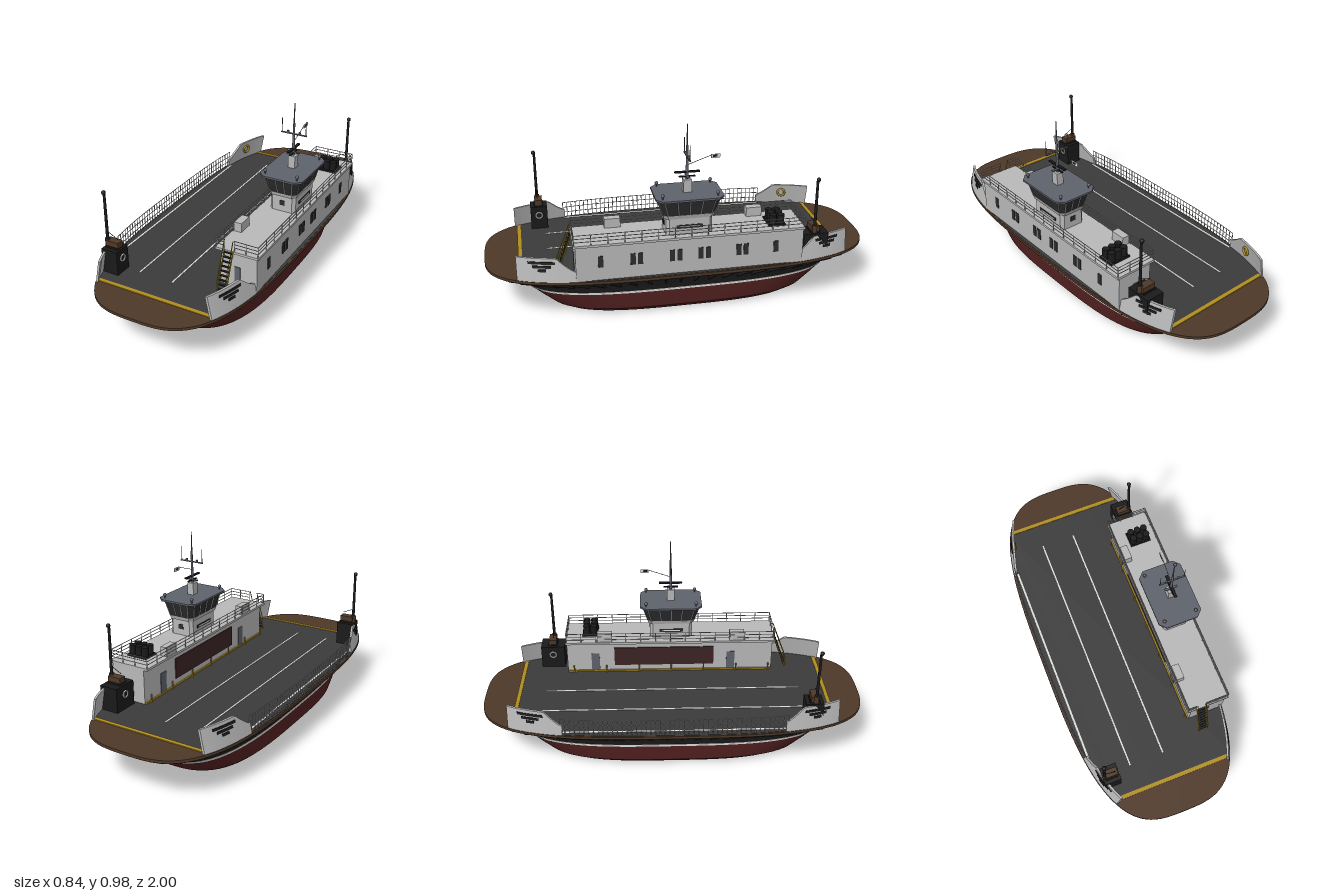
import * as THREE from 'three';
import { mergeGeometries, toCreasedNormals } from 'three/addons/utils/BufferGeometryUtils.js';

const material = (name, color) => Object.assign(new THREE.MeshStandardMaterial({ color, side: THREE.DoubleSide }), { name });
const M = {
  black: material('black', 0x1a1a1a), red: material('hull red', 0x522020), brown: material('rust brown', 0x4e3828),
  deck: material('deck grey', 0x3b3b3b), grey: material('light grey', 0xb8b8b8), white: material('white', 0xdcdcd8),
  slate: material('slate', 0x5e626c), yellow: material('yellow', 0xb08d1e), glass: material('dark glass', 0x2c2c2e),
  maroon: material('maroon', 0x3c2424),
};
const V = (x, y, z) => new THREE.Vector3(x, y, z);

// Merge several geometries into one named part
function add(parent, name, mat, geos) {
  const flat = geos.map((g) => {
    const n = g.index ? g.toNonIndexed() : g;
    n.deleteAttribute('uv');
    return n;
  });
  const mesh = new THREE.Mesh(mergeGeometries(flat), mat);
  mesh.name = name;
  parent.add(mesh);
  return mesh;
}
const box = (x, y, z, w, h, d) => new THREE.BoxGeometry(w, h, d).translate(x, y, z);
const post = (x, y0, y1, z, r0, r1 = r0, n = 12) => new THREE.CylinderGeometry(r1, r0, y1 - y0, n).translate(x, (y0 + y1) / 2, z);
function bar(a, b, r = 0.002, sides = 5) {
  const d = b.clone().sub(a), g = new THREE.CylinderGeometry(r, r, d.length(), sides);
  g.applyQuaternion(new THREE.Quaternion().setFromUnitVectors(V(0, 1, 0), d.normalize()));
  return g.translate((a.x + b.x) / 2, (a.y + b.y) / 2, (a.z + b.z) / 2);
}

// Skin a list of closed rings, with flat caps
function loft(rings, bottom = true, top = true) {
  const n = rings[0].length, pos = rings.flat().flatMap((p) => [p.x, p.y, p.z]), idx = [];
  for (let i = 0; i < rings.length - 1; i++) for (let j = 0; j < n; j++) {
    const a = i * n + j, b = i * n + (j + 1) % n;
    idx.push(a, a + n, b, b, a + n, b + n);
  }
  const last = (rings.length - 1) * n;
  for (let j = 1; j < n - 1; j++) {
    if (bottom) idx.push(0, j, j + 1);
    if (top) idx.push(last, last + j + 1, last + j);
  }
  const g = new THREE.BufferGeometry();
  g.setAttribute('position', new THREE.Float32BufferAttribute(pos, 3));
  g.setIndex(idx);
  return toCreasedNormals(g, 0.45);
}

// Ship plan: a superellipse ring
const N = 3.2;
function planPoint(y, hx, hz, t) {
  const c = Math.cos(t), s = Math.sin(t), r = (Math.abs(c) ** N + Math.abs(s) ** N) ** (-1 / N);
  return V(hx * c * r, y, hz * s * r);
}
const plan = ([y, hx, hz], n = 120) => Array.from({ length: n }, (_, i) => planPoint(y, hx, hz, (i / n) * Math.PI * 2));
const edgeX = (z) => 0.42 * (1 - Math.abs(z) ** N) ** (1 / N) - 0.003;
// Chamfered rectangle ring for the wheelhouse
const octagon = (y, hx, hz, c) => [[hx, -hz + c], [hx, hz - c], [hx - c, hz], [c - hx, hz], [-hx, hz - c], [-hx, c - hz], [c - hx, -hz], [hx - c, -hz]]
  .map(([x, z]) => V(0.303 + x, y, z));

// Curved plate that follows the deck edge and leans inward
function edgePlate(z0, z1, low, topAt, inner, outer) {
  const rings = [];
  for (let i = 0; i <= 16; i++) {
    const z = z0 + (z1 - z0) * i / 16, hi = topAt(z);
    const at = (y, o) => V(edgeX(z) + o - (y - 0.24) * 0.2, y, z);
    rings.push([at(low, inner), at(low, outer), at(hi, outer), at(hi, inner)]);
  }
  return loft(rings);
}

// Posts and three rails along a path
function railing(path, h, gap) {
  const out = [];
  for (let i = 0; i < path.length - 1; i++) {
    const a = path[i], b = path[i + 1], n = Math.max(1, Math.round(a.distanceTo(b) / gap));
    for (let k = 0; k <= n; k++) {
      const p = a.clone().lerp(b, k / n);
      out.push(bar(p, p.clone().add(V(0, h, 0))));
    }
    for (const f of [0.35, 0.68, 1]) out.push(bar(a.clone().add(V(0, h * f, 0)), b.clone().add(V(0, h * f, 0))));
  }
  return out;
}

function buildHull(g) {
  add(g, 'hullBottom', M.black, [loft([plan([-0.0, 0.303, 0.64]), plan([0.001, 0.304, 0.642])])]);
  add(g, 'lowerHull', M.red, [loft([[0.001, 0.304, 0.642], [0.028, 0.331, 0.69], [0.08, 0.335, 0.755], [0.118, 0.336, 0.8]].map((r) => plan(r)), false, false)]);
  add(g, 'waterlineStripe', M.white, [loft([[0.118, 0.338, 0.802], [0.129, 0.338, 0.812]].map((r) => plan(r)))]);
  add(g, 'upperHull', M.black, [loft([[0.129, 0.336, 0.81], [0.16, 0.337, 0.83], [0.222, 0.362, 0.9]].map((r) => plan(r)), false, false)]);
  // Brackets under the overhanging deck
  const ribs = [];
  for (let i = 0; i < 72; i++) {
    const t = ((i + 0.5) / 72) * Math.PI * 2, d = 0.004;
    const ring = (s) => [planPoint(0.155, 0.336, 0.825, t + s), planPoint(0.222, 0.34, 0.84, t + s), planPoint(0.222, 0.412, 0.985, t + s), planPoint(0.212, 0.41, 0.98, t + s)];
    ribs.push(loft([ring(-d), ring(d)]));
  }
  add(g, 'deckBrackets', M.black, ribs);
  add(g, 'deckRim', M.brown, [loft([[0.22, 0.414, 0.992], [0.226, 0.42, 1], [0.24, 0.42, 1]].map((r) => plan(r)))]);
  const shape = new THREE.Shape(plan([0, 0.412, 0.99]).map((p) => new THREE.Vector2(p.x, THREE.MathUtils.clamp(p.z, -0.815, 0.815))));
  add(g, 'carDeck', M.deck, [new THREE.ExtrudeGeometry(shape, { depth: 0.002, bevelEnabled: false }).rotateX(-Math.PI / 2).translate(0, 0.24, 0)]);
  add(g, 'laneLines', M.white, [box(-0.18, 0.243, 0, 0.008, 0.002, 1.36), box(0.005, 0.243, 0, 0.008, 0.002, 1.36), box(-0.372, 0.243, 0, 0.01, 0.002, 1.13)]);
  add(g, 'rampLines', M.yellow, [-1, 1].map((s) => box(0, 0.243, s * 0.82, 0.645, 0.004, 0.02)));
}

function buildBulwarks(g) {
  const topAt = (z) => (z > 0.65 ? 0.357 : 0.29 + 0.067 * Math.max(0, (z - 0.56) / 0.09) ** 1.3);
  for (const sx of [-1, 1]) for (const sz of [-1, 1]) {
    const corner = new THREE.Group();
    corner.name = 'cornerBulwark';
    corner.scale.set(sx, 1, sz);
    add(corner, 'bulwark', M.grey, [edgePlate(0.84, 0.56, 0.24, topAt, -0.012, 0)]);
    add(corner, 'markingBars', M.black, [[0.335, 0.065], [0.316, 0.045], [0.298, 0.02]]
      .map(([y, w]) => edgePlate(0.72 + w, 0.72 - w, y - 0.006, () => y + 0.006, -0.001, 0.003)));
    g.add(corner);
  }
  const ring = new THREE.TorusGeometry(0.02, 0.006, 8, 20).rotateY(Math.PI / 2 - 0.35);
  add(g, 'lifeRing', M.yellow, [ring.translate(-edgeX(0.7) + 0.033, 0.31, -0.7)]);
  const path = [];
  for (let i = 0; i <= 12; i++) {
    const z = -0.57 + 1.14 * i / 12;
    path.push(V(-edgeX(z) + 0.012, 0.24, z));
  }
  add(g, 'sideRailing', M.grey, railing(path, 0.09, 0.024));
}

function buildHouse(g) {
  add(g, 'house', M.grey, [box(0.3, 0.333, -0.008, 0.19, 0.186, 1.136), box(0.293, 0.43, -0.005, 0.226, 0.012, 1.15)]);
  add(g, 'sideWindows', M.glass, [0.44, 0.283, 0.247, 0.09, 0.052, -0.052, -0.09, -0.245, -0.281, -0.435].map((z) => box(0.395, 0.34, z, 0.006, 0.06, 0.025)));
  add(g, 'innerPanel', M.maroon, [box(0.204, 0.335, -0.04, 0.008, 0.11, 0.55)]);
  add(g, 'doors', M.slate, [box(0.204, 0.3, -0.42, 0.006, 0.11, 0.045), box(0.204, 0.3, 0.33, 0.006, 0.11, 0.045),
    box(0.294, 0.298, 0.561, 0.03, 0.11, 0.006), box(0.294, 0.298, -0.577, 0.03, 0.11, 0.006)]);
  const guards = [];
  for (let i = 0; i < 7; i++) guards.push(post(0.19, 0.24, 0.285, -0.54 + i * 0.18, 0.004));
  guards.push(box(0.2, 0.246, -0.008, 0.008, 0.008, 1.13));
  add(g, 'guardPosts', M.yellow, guards);
  const c = [V(0.183, 0.436, -0.575), V(0.403, 0.436, -0.575), V(0.403, 0.436, 0.565), V(0.28, 0.436, 0.565)];
  const c2 = [V(0.225, 0.436, 0.565), V(0.183, 0.436, 0.565), V(0.183, 0.436, -0.575)];
  add(g, 'roofRailing', M.grey, [...railing(c, 0.054, 0.08), ...railing(c2, 0.054, 0.08)]);
  add(g, 'roofLockers', M.grey, [-0.365, 0.36].map((z) => box(0.207, 0.46, z, 0.04, 0.048, 0.08)));
  const rafts = [box(0.313, 0.44, -0.447, 0.115, 0.012, 0.085)];
  for (const x of [0.276, 0.313, 0.35]) for (const z of [-0.467, -0.427]) rafts.push(post(x, 0.44, 0.493, z, 0.018, 0.018, 14));
  add(g, 'ventCluster', M.black, rafts);
  // Stairs to the house roof
  const steps = [], rails = [];
  for (let i = 0; i < 9; i++) steps.push(box(0.252, 0.258 + i * 0.021, 0.636 - i * 0.0078, 0.044, 0.004, 0.012));
  for (const x of [0.23, 0.275]) {
    rails.push(bar(V(x, 0.242, 0.642), V(x, 0.436, 0.568), 0.0035), bar(V(x, 0.3, 0.642), V(x, 0.49, 0.568), 0.0025), bar(V(x, 0.242, 0.642), V(x, 0.3, 0.642), 0.0025));
  }
  add(g, 'stairTreads', M.black, steps);
  add(g, 'stairRails', M.yellow, rails);
}

function buildWheelhouse(g) {
  add(g, 'wheelhouseBase', M.grey, [loft([octagon(0.434, 0.068, 0.115, 0.015), octagon(0.524, 0.068, 0.115, 0.015)]),
    loft([octagon(0.522, 0.073, 0.124, 0.02), octagon(0.542, 0.079, 0.13, 0.02)])]);
  const low = octagon(0.542, 0.078, 0.129, 0.022), high = octagon(0.627, 0.097, 0.155, 0.028);
  add(g, 'wheelhouseWindows', M.glass, [loft([low, high])]);
  const mullions = [];
  low.forEach((p, i) => {
    const q = low[(i + 1) % 8], r = high[(i + 1) % 8], n = i % 4 === 0 ? 4 : i % 2 === 0 ? 3 : 1;
    for (let k = 0; k < n; k++) mullions.push(bar(p.clone().lerp(q, k / n), high[i].clone().lerp(r, k / n), 0.0025));
  });
  add(g, 'windowFrames', M.grey, mullions);
  add(g, 'wheelhouseRoof', M.slate, [loft([octagon(0.625, 0.116, 0.167, 0.032), octagon(0.635, 0.116, 0.167, 0.032)])]);
  add(g, 'basePanels', M.glass, [box(0.303, 0.483, 0.115, 0.028, 0.026, 0.006), box(0.303, 0.483, -0.115, 0.028, 0.026, 0.006),
    box(0.371, 0.478, 0, 0.006, 0.018, 0.13), box(0.235, 0.478, 0, 0.006, 0.018, 0.13)]);
  add(g, 'namePlates', M.white, [box(0.372, 0.478, 0, 0.007, 0.006, 0.1), box(0.234, 0.478, 0, 0.007, 0.006, 0.1)]);
  const lamps = [];
  for (const x of [0.217, 0.388]) for (const z of [-0.135, 0.135]) {
    lamps.push(post(x, 0.635, 0.648, z, 0.003), new THREE.SphereGeometry(0.009, 10, 8).translate(x, 0.653, z));
  }
  add(g, 'roofLamps', M.slate, lamps);
  // Mast, yard, aerials and radar
  add(g, 'mastBase', M.grey, [box(0.303, 0.667, 0, 0.037, 0.065, 0.04)]);
  const mast = [post(0.303, 0.7, 0.87, 0, 0.008, 0.005), post(0.303, 0.87, 0.975, 0, 0.004, 0.002),
    box(0.303, 0.813, 0, 0.138, 0.005, 0.008), box(0.303, 0.714, 0, 0.068, 0.005, 0.012),
    bar(V(0.303, 0.77, 0), V(0.303, 0.812, -0.12), 0.0015)];
  for (const s of [-1, 1]) mast.push(post(0.303 + s * 0.064, 0.813, 0.888, 0, 0.002, 0.0015, 6), post(0.303 + s * 0.032, 0.815, 0.826, 0, 0.006));
  add(g, 'mast', M.slate, mast);
  add(g, 'radarBars', M.black, [box(0.303, 0.735, 0, 0.014, 0.007, 0.125), box(0.303, 0.712, 0, 0.01, 0.005, 0.08)]);
  add(g, 'flag', M.white, [box(0.303, 0.806, -0.14, 0.003, 0.02, 0.044)]);
  add(g, 'flagPatch', M.black, [box(0.303, 0.807, -0.137, 0.005, 0.01, 0.024)]);
}

// Ramp winch with its tall exhaust-like post
function buildWinch(g, x, z, w, d, pz, turn) {
  const winch = new THREE.Group();
  winch.name = 'rampWinch';
  winch.position.set(x, 0, z);
  winch.rotation.y = turn;
  add(winch, 'winchHousing', M.black, [box(0, 0.304, 0, w, 0.128, d), box(0, 0.372, 0, w * 0.75, 0.01, 0.05)]);
  add(winch, 'winchDrum', M.brown, [box(0, 0.39, 0, 0.072, 0.028, 0.04), post(-0.033, 0.37, 0.41, pz, 0.013)]);
  add(winch, 'winchPost', M.black, [post(-0.033, 0.37, 0.655, pz, 0.008, 0.0065),
    new THREE.SphereGeometry(0.011, 12, 8).translate(-0.033, 0.656, pz + 0.004),
    bar(V(-0.033, 0.447, pz), V(0.028, 0.418, pz), 0.0015)]);
  add(winch, 'winchRing', M.white, [new THREE.TorusGeometry(0.017, 0.004, 8, 18).rotateY(Math.PI / 2).translate(w / 2 + 0.002, 0.32, 0)]);
  g.add(winch);
}

export function createModel() {
  const g = new THREE.Group();
  g.name = 'carFerry';
  buildHull(g);
  buildBulwarks(g);
  buildHouse(g);
  buildWheelhouse(g);
  buildWinch(g, -0.3, 0.705, 0.088, 0.09, 0.005, 0);
  buildWinch(g, 0.305, -0.66, 0.098, 0.13, -0.005, Math.PI);
  return g;
}
